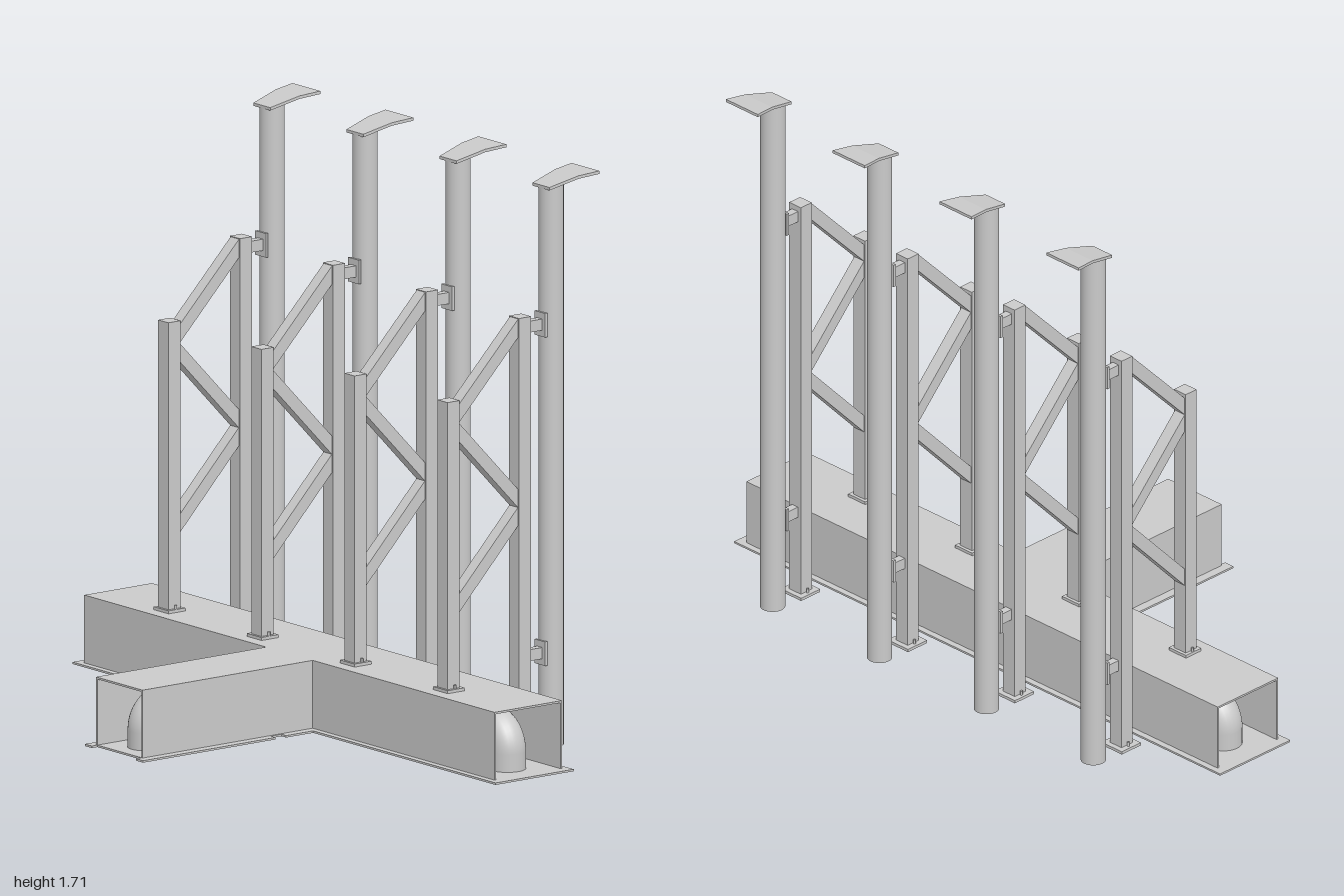
import * as THREE from 'three';

export function createModel() {
  const model = new THREE.Group();
  model.name = 'ductWithStacks';
  const steel = new THREE.MeshStandardMaterial({ color: 0xcacaca, side: THREE.DoubleSide });
  steel.name = 'light grey steel';

  const add = (parent, name, geo) => {
    const m = new THREE.Mesh(geo, steel);
    m.name = name;
    parent.add(m);
    return m;
  };
  // box given by its limits on each axis
  const box = (parent, name, x0, x1, y0, y1, z0, z1) =>
    add(parent, name, new THREE.BoxGeometry(x1 - x0, y1 - y0, z1 - z0)
      .translate((x0 + x1) / 2, (y0 + y1) / 2, (z0 + z1) / 2));
  const shapeOf = pts => new THREE.Shape(pts.map(p => new THREE.Vector2(p[0], p[1])));
  // horizontal plate from an outline in x, z
  const plate = (parent, name, shape, yTop, t) =>
    add(parent, name, new THREE.ExtrudeGeometry(shape, { depth: t, bevelEnabled: false, curveSegments: 24 })
      .rotateX(Math.PI / 2).translate(0, yTop, 0));
  // upright prism from an outline in z, y, centred on x = 0
  const prism = (parent, name, pts, w) =>
    add(parent, name, new THREE.ExtrudeGeometry(shapeOf(pts), { depth: w, bevelEnabled: false })
      .rotateY(-Math.PI / 2).translate(w / 2, 0, 0));

  // T-shaped duct: roof, walls and bottom flanges, open underneath
  const duct = new THREE.Group();
  duct.name = 'duct';
  model.add(duct);
  const T = 0.006, H = 0.215, F = 0.012;
  plate(duct, 'ductRoof', shapeOf([
    [-0.97, -0.29], [0.97, -0.29], [0.97, -0.04], [0.11, -0.04],
    [0.11, 0.59], [-0.11, 0.59], [-0.11, -0.04], [-0.97, -0.04]]), H, T);
  box(duct, 'backWall', -0.97, 0.97, F, H - T, -0.29, -0.29 + T);
  box(duct, 'backFlange', -0.75, 0.75, 0.006, F, -0.31, -0.284);

  const R = 0.055;
  const holed = (pts, x, z) => {
    const s = shapeOf(pts);
    const hole = new THREE.Path();
    hole.absarc(x, z, R, 0, Math.PI * 2, true);
    s.holes.push(hole);
    return s;
  };
  // pipe rising through the floor and bending inward along (dx, dz)
  const elbow = (name, x, z, dx, dz) => {
    const at = (d, y) => new THREE.Vector3(x + dx * d, y, z + dz * d);
    const path = new THREE.CurvePath();
    path.add(new THREE.LineCurve3(at(0, 0.006), at(0, 0.065)));
    path.add(new THREE.CubicBezierCurve3(at(0, 0.065), at(0, 0.104), at(0.031, 0.135), at(0.07, 0.135)));
    path.add(new THREE.LineCurve3(at(0.07, 0.135), at(0.1, 0.135)));
    add(duct, name, new THREE.TubeGeometry(path, 24, R, 24, false));
  };

  for (const s of [-1, 1]) {
    const span = (name, a, b, y0, y1, z0, z1) =>
      box(duct, name, Math.min(s * a, s * b), Math.max(s * a, s * b), y0, y1, z0, z1);
    span('frontWall', 0.11, 0.97, F, H - T, -0.04 - T, -0.04);
    span('frontFlange', 0.11, 0.75, 0.006, F, -0.046, -0.02);
    span('stemWall', 0.11 - T, 0.11, F, H - T, -0.04, 0.59);
    span('stemFlangeInner', 0.104, 0.138, 0.006, F, -0.02, 0.08);
    span('stemFlangeNeck', 0.104, 0.116, 0.006, F, 0.08, 0.12);
    span('stemFlangeOuter', 0.104, 0.138, 0.006, F, 0.12, 0.61);
    // holed floor at each end of the crossbar
    plate(duct, 'endFloor', holed([
      [s * 0.75, -0.31], [s, -0.31], [s, -0.02], [s * 0.75, -0.02]], s * 0.87, -0.165), F, 0.006);
    elbow('endElbow', s * 0.87, -0.165, -s, 0);
  }
  plate(duct, 'stemFloor', holed([
    [-0.104, 0.41], [0.104, 0.41], [0.104, 0.59], [-0.104, 0.59]], 0, 0.49), F, 0.006);
  elbow('stemElbow', 0, 0.49, 0, -1);

  // four stacks, each with its braced frame
  for (const x of [-0.66, -0.22, 0.22, 0.66]) {
    const g = new THREE.Group();
    g.name = 'stackUnit';
    g.position.x = x;
    model.add(g);

    // hollow column, its top trimmed to the slope of the cap
    const col = new THREE.CylinderGeometry(0.037, 0.037, 1.68, 28, 1, true).translate(0, 0.84, -0.4925);
    const p = col.attributes.position;
    for (let i = 0; i < p.count; i++)
      if (p.getY(i) > 1) p.setY(i, 1.68 - (p.getZ(i) + 0.4925) * 0.25);
    add(g, 'column', col);

    // bent cap that widens to the rear
    const rows = [[-0.455, 1.678, 0.04], [-0.55, 1.702, 0.055], [-0.62, 1.709, 0.066]];
    const pos = [], idx = [];
    for (const [z, y, w] of rows)
      pos.push(-w, y, z, w, y, z, w, y - 0.009, z, -w, y - 0.009, z);
    for (let r = 0; r < 2; r++)
      for (let k = 0; k < 4; k++) {
        const a = r * 4 + k, b = r * 4 + (k + 1) % 4;
        idx.push(a, b, b + 4, a, b + 4, a + 4);
      }
    idx.push(0, 2, 1, 0, 3, 2, 8, 9, 10, 8, 10, 11);
    let cap = new THREE.BufferGeometry();
    cap.setAttribute('position', new THREE.Float32BufferAttribute(pos, 3));
    cap.setIndex(idx);
    cap = cap.toNonIndexed();
    cap.computeVertexNormals();
    add(g, 'cap', cap);

    // posts and base plates
    box(g, 'rearPost', -0.024, 0.024, 0.012, 1.297, -0.4, -0.355);
    box(g, 'rearBase', -0.042, 0.042, 0.003, 0.012, -0.417, -0.338);
    box(g, 'frontPost', -0.024, 0.024, 0.012, 1.083, -0.135, -0.09);
    box(g, 'frontBase', -0.035, 0.035, H, H + 0.009, -0.145, -0.082);

    // zigzag braces: front height, rear height of the lower edge
    for (const [yf, yr] of [[1.015, 1.24], [0.96, 0.73], [0.447, 0.677]])
      prism(g, 'brace', [[-0.135, yf], [-0.135, yf + 0.055], [-0.355, yr + 0.055], [-0.355, yr]], 0.04);

    // brackets tying the column to the rear post
    for (const y of [0.28, 1.263]) {
      box(g, 'bracketArm', -0.012, 0.012, y - 0.017, y + 0.017, -0.46, -0.4);
      box(g, 'bracketPlate', -0.025, 0.025, y - 0.036, y + 0.036, -0.459, -0.45);
    }
    // base bolts
    for (const sx of [-0.03, 0.03]) {
      add(g, 'frontBolt', new THREE.CylinderGeometry(0.004, 0.004, 0.018, 8).translate(sx, 0.227, -0.113));
      add(g, 'rearBolt', new THREE.CylinderGeometry(0.004, 0.004, 0.018, 8).translate(sx, 0.016, -0.378));
    }
  }
  return model;
}
